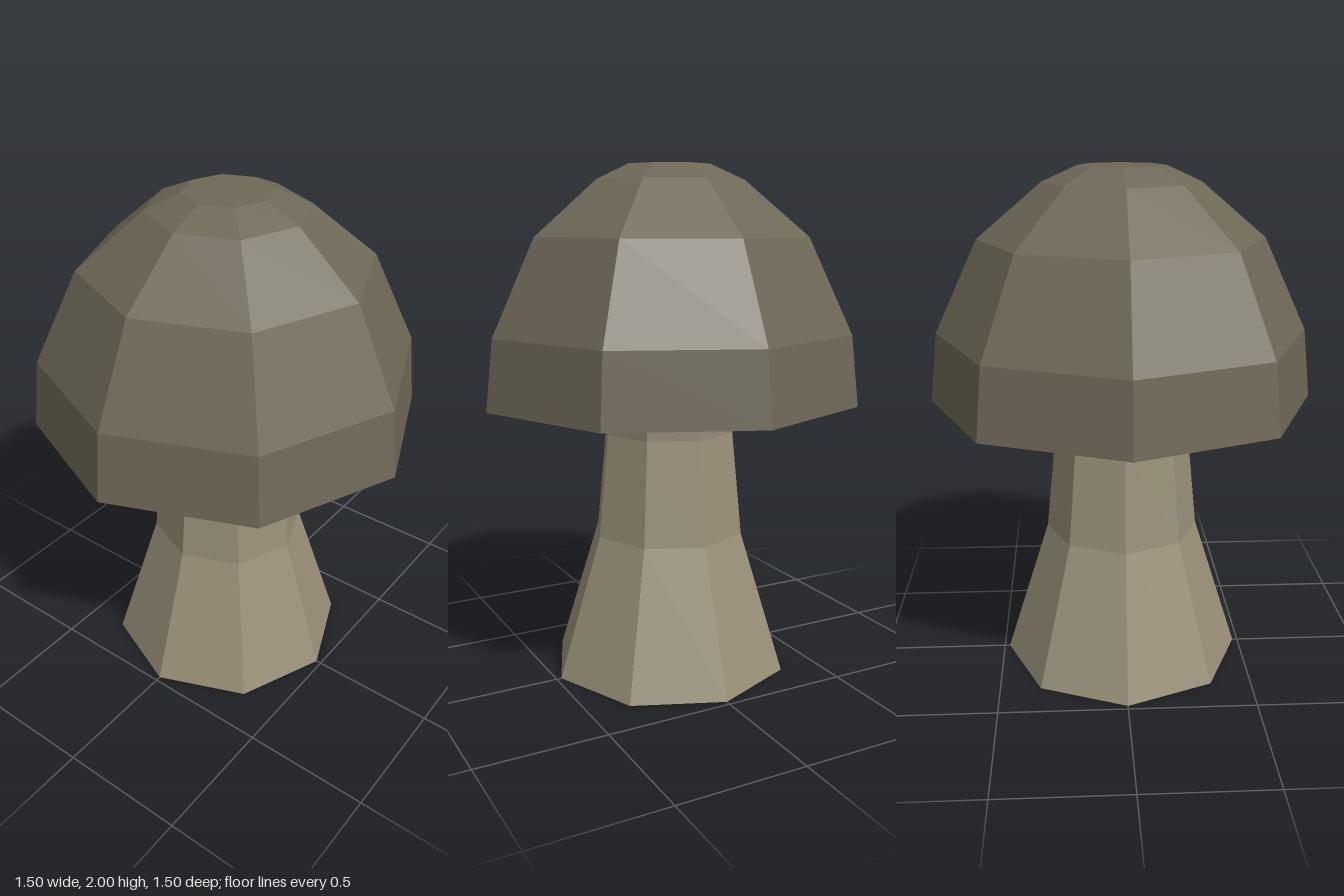
import * as THREE from 'three';

const SIDES = 8;

// Faceted solid of revolution from a bottom-to-top [radius, height] profile
function turned(name, color, profile) {
  const points = profile.map(([r, y]) => new THREE.Vector2(r, y));
  const material = new THREE.MeshStandardMaterial({ color, flatShading: true });
  const mesh = new THREE.Mesh(new THREE.LatheGeometry(points, SIDES), material);
  mesh.name = name;
  return mesh;
}

export function createModel() {
  const group = new THREE.Group();
  group.name = 'mushroom';

  // Flared stem with a closed foot; its top meets the underside of the cap
  group.add(turned('stem', 0x9a9179, [
    [0, 0], [0.48, 0], [0.305, 0.56], [0.265, 0.97], [0.275, 1.1],
  ]));

  // Domed cap with a flat underside and a small flat crown
  group.add(turned('cap', 0x6e6857, [
    [0, 1.1], [0.75, 1.1], [0.72, 1.37], [0.55, 1.73], [0.3, 1.94], [0.167, 2], [0, 2],
  ]));

  return group;
}
